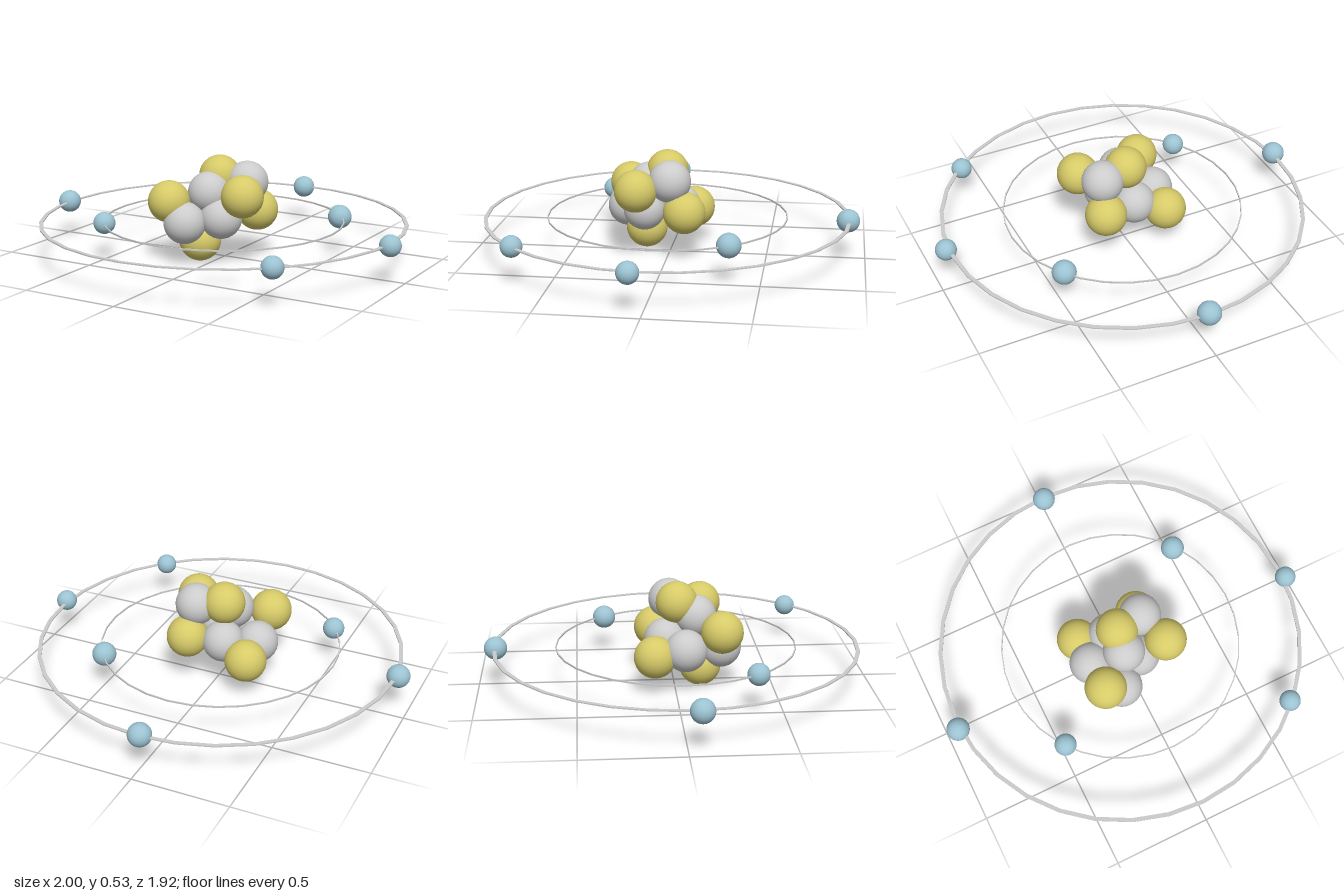
import * as THREE from 'three';

const GREY = new THREE.MeshStandardMaterial({ color: 0xcccccc });
const YELLOW = new THREE.MeshStandardMaterial({ color: 0xd6ca68 });
const BLUE = new THREE.MeshStandardMaterial({ color: 0x9cc3d2 });
const RING = new THREE.MeshStandardMaterial({ color: 0xcccccc, flatShading: true });

const ORBIT_Y = 0.195;
const ORBIT_Z = 0.012;

// One group of balls; each entry is [x, y, z, radius]
function balls(name, list, material) {
  const group = new THREE.Group();
  group.name = name + 's';
  list.forEach(([x, y, z, r], i) => {
    const ball = new THREE.Mesh(new THREE.SphereGeometry(r, 32, 20), material);
    ball.position.set(x, y, z);
    ball.name = name + (i + 1);
    group.add(ball);
  });
  return group;
}

// Flat 32-sided ring with a rectangular section
function orbit(name, radius, halfWidth, halfHeight) {
  const a = radius - halfWidth, b = radius + halfWidth, h = halfHeight;
  const section = [[b, -h], [b, h], [a, h], [a, -h], [b, -h]]
    .map(([x, y]) => new THREE.Vector2(x, y));
  const ring = new THREE.Mesh(new THREE.LatheGeometry(section, 32), RING);
  ring.position.set(0, ORBIT_Y, ORBIT_Z);
  ring.name = name;
  return ring;
}

export function createModel() {
  const model = new THREE.Group();
  model.name = 'atom';

  // Nucleus: six yellow and six grey balls packed together
  const R = 0.107;
  const nucleus = new THREE.Group();
  nucleus.name = 'nucleus';
  nucleus.add(
    balls('proton', [
      [-0.19, 0.313, 0.232, R],
      [0.187, 0.363, 0.15, R],
      [-0.02, 0.425, 0.015, R],
      [-0.07, 0.107, 0.13, R],
      [0.14, 0.247, -0.09, R],
      [-0.19, 0.19, -0.105, R],
    ], YELLOW),
    balls('neutron', [
      [0.123, 0.402, -0.015, R],
      [-0.028, 0.355, 0.11, R],
      [-0.1, 0.212, 0.23, R],
      [0.05, 0.235, 0.125, R],
      [-0.19, 0.22, 0.05, R],
      [-0.04, 0.238, -0.045, R],
    ], GREY),
  );
  model.add(nucleus);

  // Orbits: thin inner ring and wider outer ring
  model.add(orbit('innerOrbit', 0.615, 0.003, 0.004));
  model.add(orbit('outerOrbit', 0.931, 0.01, 0.003));

  // Electrons: two on the inner orbit, four on the outer
  model.add(balls('electron', [
    [0.487, ORBIT_Y, -0.347, 0.061],
    [-0.488, ORBIT_Y, 0.378, 0.056],
    [-0.005, ORBIT_Y, -0.91, 0.059],
    [-0.941, ORBIT_Y, 0.065, 0.059],
    [0.945, ORBIT_Y, 0.065, 0.054],
    [0.638, ORBIT_Y, 0.675, 0.054],
  ], BLUE));

  return model;
}
